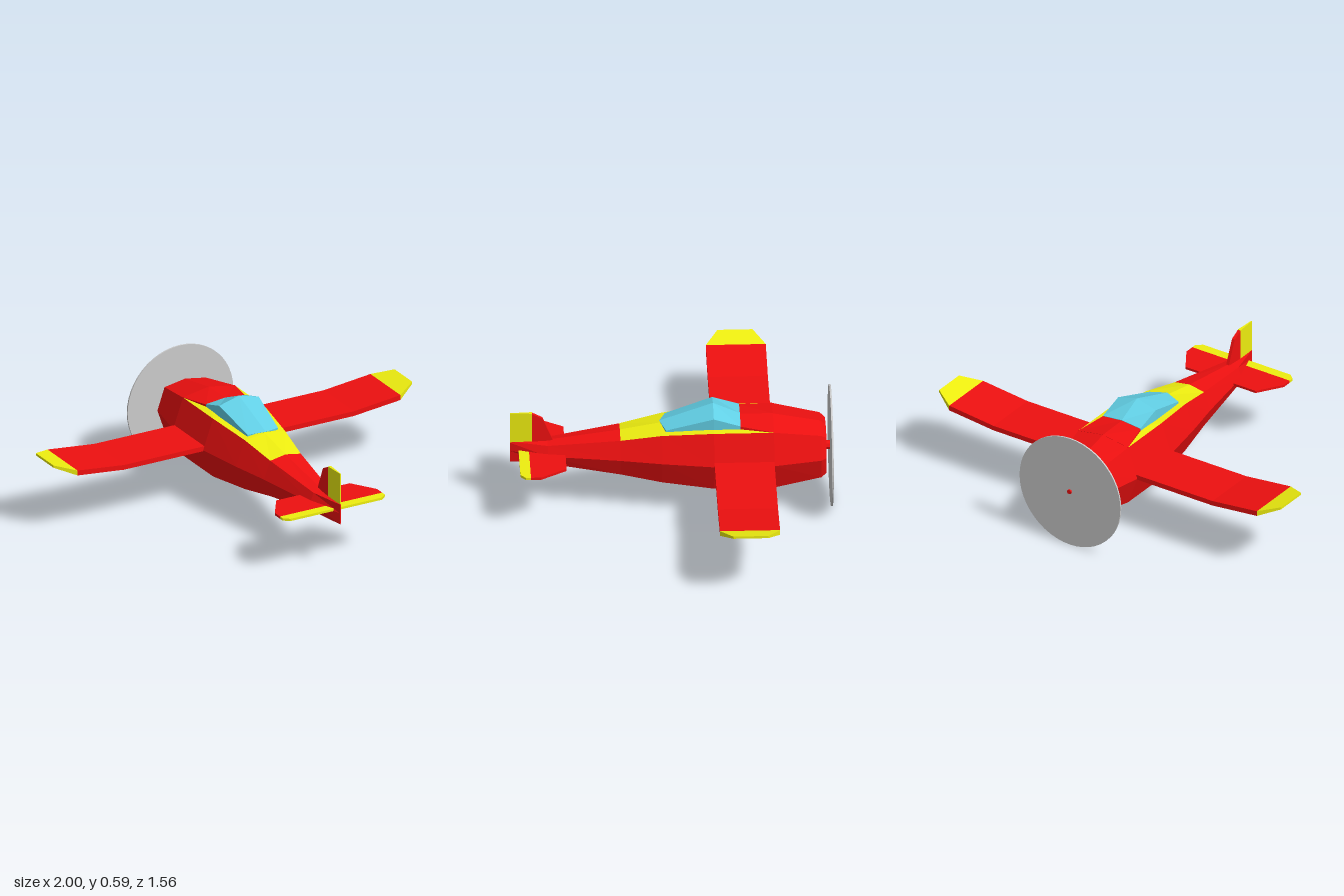
import * as THREE from 'three';

const paint = (color) => new THREE.MeshStandardMaterial({ color, flatShading: true, side: THREE.DoubleSide });
const RED = paint(0xee1010), YELLOW = paint(0xeeee10), GLASS = paint(0x62d0e6), GREY = paint(0xcccccc);

// Skin closed rings of [x, y, z] points; keep(i, j) chooses the panels, cap closes both ends.
function loft(name, material, rings, { keep = () => true, cap = true } = {}) {
  const pos = [];
  const tri = (...pts) => pts.forEach((p) => pos.push(...p));
  const n = rings[0].length;
  for (let i = 0; i < rings.length - 1; i++) {
    const a = rings[i], b = rings[i + 1];
    for (let j = 0; j < n; j++) {
      if (!keep(i, j)) continue;
      const k = (j + 1) % n;
      tri(a[j], a[k], b[k]);
      tri(a[j], b[k], b[j]);
    }
  }
  if (cap) {
    const first = rings[0], last = rings[rings.length - 1];
    for (let j = 1; j < n - 1; j++) {
      tri(first[0], first[j + 1], first[j]);
      tri(last[0], last[j], last[j + 1]);
    }
  }
  const geo = new THREE.BufferGeometry();
  geo.setAttribute('position', new THREE.Float32BufferAttribute(pos, 3));
  geo.computeVertexNormals();
  const mesh = new THREE.Mesh(geo, material);
  mesh.name = name;
  return mesh;
}

// Horizontal plate from an [x, z] outline
function plate(name, material, outline, y, thickness) {
  const shape = new THREE.Shape(outline.map(([x, z]) => new THREE.Vector2(x, -z)));
  const geo = new THREE.ExtrudeGeometry(shape, { depth: thickness, bevelEnabled: false });
  geo.rotateX(-Math.PI / 2).translate(0, y, 0);
  const mesh = new THREE.Mesh(geo, material);
  mesh.name = name;
  return mesh;
}

// Eight-sided body section
const bodyRing = ([z, mid, sh, top, shTop, shLow, low]) => [
  [mid, 0.3, z], [sh, shTop, z], [0, top, z], [-sh, shTop, z],
  [-mid, 0.3, z], [-sh, shLow, z], [0, low, z], [sh, shLow, z],
];

// Five-sided section for hood and canopy: base, side and ridge
const roofRing = (z, x, base, side, ridge, ridgeZ = z) => [
  [x, base, z], [x, side, z], [0, ridge, ridgeZ], [-x, side, z], [-x, base, z],
];

// Rectangular wing section at span x
const wingRing = ([x, bottom, top, z0, z1]) => [
  [x, bottom, z0], [x, top, z0], [x, top, z1], [x, bottom, z1],
];

export function createModel() {
  const plane = new THREE.Group();
  plane.name = 'airplane';

  // Fuselage: z, middle half width, shoulder half width, top, upper shoulder, lower shoulder, bottom
  const body = [
    [-0.745, 0.13, 0.1, 0.41, 0.395, 0.2, 0.185],
    [-0.72, 0.155, 0.115, 0.435, 0.415, 0.185, 0.165],
    [-0.49, 0.2, 0.145, 0.48, 0.455, 0.15, 0.115],
    [-0.2, 0.2, 0.145, 0.465, 0.455, 0.15, 0.115],
    [0.05, 0.16, 0.112, 0.443, 0.43, 0.172, 0.15],
    [0.25, 0.12, 0.085, 0.407, 0.392, 0.205, 0.19],
    [0.6, 0.065, 0.045, 0.358, 0.348, 0.25, 0.24],
    [0.78, 0.003, 0.002, 0.35, 0.345, 0.245, 0.24],
  ].map(bodyRing);
  const isDeck = (i, j) => i >= 2 && i <= 4 && (j === 1 || j === 2);
  plane.add(loft('fuselage', RED, body, { keep: (i, j) => !isDeck(i, j) }));
  plane.add(loft('upperDeck', YELLOW, body, { keep: isDeck, cap: false }));

  // Hood in front of the windscreen
  plane.add(loft('hood', RED, [
    roofRing(-0.49, 0.145, 0.445, 0.456, 0.481),
    roofRing(-0.33, 0.11, 0.45, 0.472, 0.483),
  ]));

  // Faceted canopy
  plane.add(loft('canopy', GLASS, [
    roofRing(-0.33, 0.11, 0.457, 0.474, 0.485),
    roofRing(-0.2, 0.11, 0.457, 0.515, 0.545),
    roofRing(0.03, 0.085, 0.432, 0.444, 0.453, 0.06),
  ]));

  // Wings bent upward, with yellow tips
  const span = [
    [0.64, 0.295, 0.32, -0.49, -0.2],
    [0.9, 0.322, 0.348, -0.49, -0.2],
    [1, 0.362, 0.374, -0.43, -0.26],
  ];
  const mirror = ([x, ...rest]) => [-x, ...rest];
  const [bend, outer, tip] = span;
  plane.add(loft('wings', RED, [mirror(outer), mirror(bend), bend, outer].map(wingRing)));
  plane.add(loft('leftWingTip', YELLOW, [outer, tip].map(wingRing)));
  plane.add(loft('rightWingTip', YELLOW, [mirror(tip), mirror(outer)].map(wingRing)));

  // Tailplane and elevator
  plane.add(plate('tailplane', RED, [
    [-0.285, 0.69], [0.285, 0.69], [0.285, 0.64], [0.205, 0.515], [-0.205, 0.515], [-0.285, 0.64],
  ], 0.299, 0.012));
  plane.add(plate('elevator', YELLOW, [
    [-0.285, 0.69], [-0.285, 0.715], [-0.255, 0.74], [0.255, 0.74], [0.285, 0.715], [0.285, 0.69],
  ], 0.299, 0.012));

  // Fin and rudder, tapering to a thin trailing edge
  const finRing = (z, half, bottom, top) => [
    [half, bottom, z], [half, top, z], [-half, top, z], [-half, bottom, z],
  ];
  plane.add(loft('fin', RED, [
    finRing(0.575, 0.008, 0.34, 0.36),
    finRing(0.625, 0.008, 0.34, 0.48),
    finRing(0.675, 0.008, 0.34, 0.506),
  ]));
  plane.add(loft('rudder', YELLOW, [
    finRing(0.675, 0.008, 0.347, 0.508),
    finRing(0.78, 0.002, 0.347, 0.508),
  ]));

  // Spinning propeller disc and hub
  const disc = new THREE.Mesh(new THREE.CylinderGeometry(0.295, 0.295, 0.008, 48), GREY);
  disc.name = 'propellerDisc';
  disc.rotation.x = Math.PI / 2;
  disc.position.set(0, 0.298, -0.769);
  plane.add(disc);
  [[0.022, 0.024, -0.755], [0.012, 0.018, -0.773]].forEach(([radius, length, z]) => {
    const hub = new THREE.Mesh(new THREE.CylinderGeometry(radius, radius, length, 8), RED);
    hub.name = 'propellerHub';
    hub.rotation.x = Math.PI / 2;
    hub.position.set(0, 0.3, z);
    plane.add(hub);
  });

  return plane;
}
